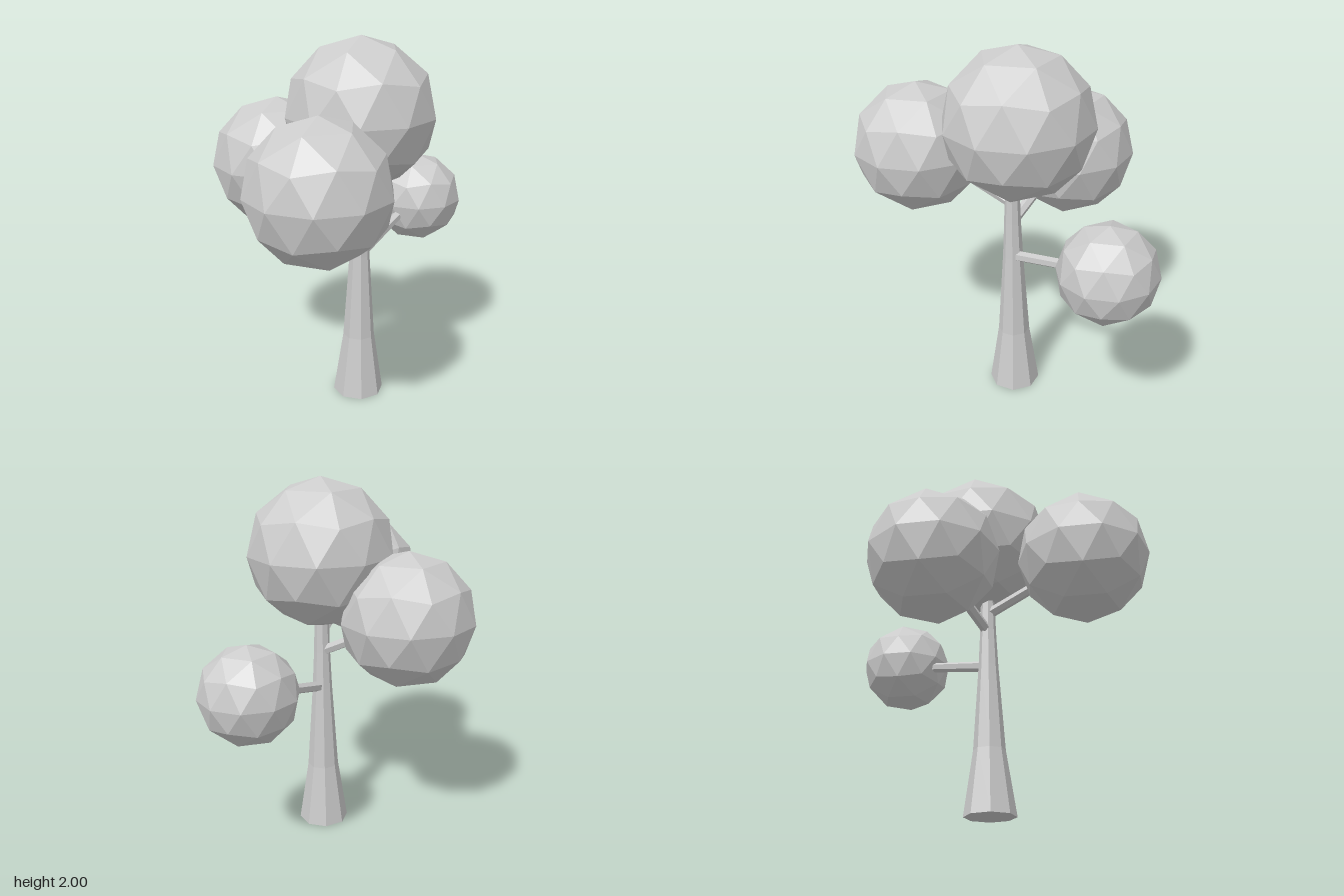
import * as THREE from 'three';

const material = new THREE.MeshStandardMaterial({ color: 0xcccccc, flatShading: true });

function addMesh(parent, name, geometry) {
  const mesh = new THREE.Mesh(geometry, material);
  mesh.name = name;
  parent.add(mesh);
  return mesh;
}

// Faceted ball with one corner pointing straight up
function foliageGeometry(radius) {
  return new THREE.IcosahedronGeometry(radius, 1)
    .rotateZ(-Math.atan(2 / (1 + Math.sqrt(5))));
}

// Six-sided rod between two points
function addBranch(parent, name, from, to, radius) {
  const along = to.clone().sub(from);
  const branch = addMesh(parent, name,
    new THREE.CylinderGeometry(radius * 0.92, radius, along.length(), 6));
  branch.position.copy(from).addScaledVector(along, 0.5);
  branch.quaternion.setFromUnitVectors(new THREE.Vector3(0, 1, 0), along.normalize());
}

export function createModel() {
  const tree = new THREE.Group();
  tree.name = 'tree';
  const trunkX = 0.16, trunkZ = -0.007;

  // Eight-sided trunk, flared at the foot
  const profile = [
    [0, 0], [0.14, 0], [0.087, 0.35], [0.055, 0.83], [0.045, 1.04], [0.039, 1.25], [0, 1.25],
  ].map(([r, y]) => new THREE.Vector2(r, y));
  addMesh(tree, 'trunk', new THREE.LatheGeometry(profile, 8)).position.set(trunkX, 0, trunkZ);

  // Foliage balls; forkY is the height where the supporting branch leaves the trunk
  const crowns = [
    { name: 'top', center: [0.135, 1.6, -0.035], radius: 0.4 },
    { name: 'right', center: [-0.345, 1.29, 0.08], radius: 0.36, forkY: 1.04 },
    { name: 'front', center: [0.34, 1.36, 0.555], radius: 0.36, forkY: 1.15 },
    { name: 'back', center: [0.105, 0.99, -0.65], radius: 0.26, forkY: 0.83 },
  ];
  for (const { name, center, radius, forkY } of crowns) {
    const middle = new THREE.Vector3(...center);
    addMesh(tree, name + 'Foliage', foliageGeometry(radius)).position.copy(middle);
    if (forkY === undefined) continue;
    const fork = new THREE.Vector3(trunkX, forkY, trunkZ);
    addBranch(tree, name + 'Branch', fork, fork.clone().lerp(middle, 0.75), 0.03);
  }
  return tree;
}
